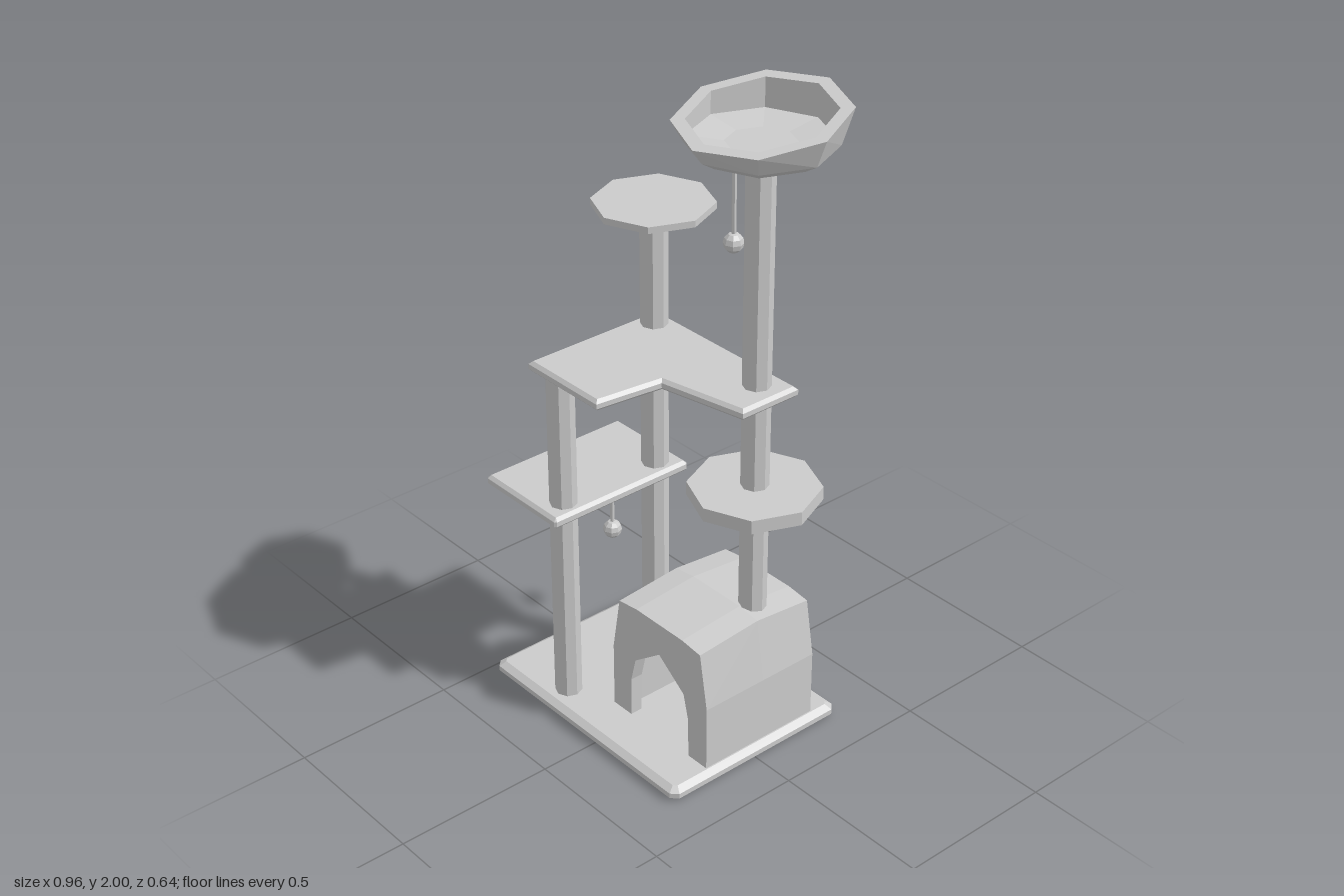
import * as THREE from 'three';

const material = new THREE.MeshStandardMaterial({ color: 0xcccccc, flatShading: true, side: THREE.DoubleSide });

// Skin over a row of cross-sections, each a list of [x, y, z] points
function loft(sections, closed) {
  const n = sections[0].length;
  const indices = [];
  for (let s = 0; s < sections.length - 1; s++) {
    for (let i = 0; i < (closed ? n : n - 1); i++) {
      const a = s * n + i, a1 = s * n + (i + 1) % n;
      indices.push(a, a1, a + n, a1, a1 + n, a + n);
    }
  }
  const geometry = new THREE.BufferGeometry();
  geometry.setAttribute('position', new THREE.Float32BufferAttribute(sections.flat(2), 3));
  geometry.setIndex(indices);
  geometry.computeVertexNormals();
  return geometry;
}

// Rectangle in plan with cut corners
const rectangle = (x0, x1, z0, z1, c) => [
  [x0 + c, z1], [x1 - c, z1], [x1, z1 - c], [x1, z0 + c],
  [x1 - c, z0], [x0 + c, z0], [x0, z0 + c], [x0, z1 - c],
];

export function createModel() {
  const model = new THREE.Group();

  const add = (name, geometry, x = 0, y = 0, z = 0) => {
    const mesh = new THREE.Mesh(geometry, material);
    mesh.name = name;
    mesh.position.set(x, y, z);
    model.add(mesh);
  };

  // Upright prism between two heights
  const prism = (name, x, z, r, y0, y1, sides = 8) =>
    add(name, new THREE.CylinderGeometry(r, r, y1 - y0, sides), x, (y0 + y1) / 2, z);

  // Horizontal board with bevelled rim; outline points are [x, z]
  const board = (name, outline, y0, y1, bevel) => {
    const shape = new THREE.Shape(outline.map(([x, z]) => new THREE.Vector2(x, -z)));
    const geometry = new THREE.ExtrudeGeometry(shape, {
      depth: y1 - y0 - 2 * bevel, bevelThickness: bevel, bevelSize: bevel,
      bevelOffset: -bevel, bevelSegments: 1,
    });
    geometry.rotateX(-Math.PI / 2);
    add(name, geometry, 0, y0 + bevel, 0);
  };

  // Base: bevelled top and rim, hollow underneath
  const ring = (inset, y) => rectangle(-0.476 + inset, 0.366 - inset, -0.32 + inset, 0.32 - inset, 0.02 - inset / 2)
    .map(([x, z]) => [x, y, z]);
  const centre = ring(0, 0).map(() => [-0.055, 0.042, 0]);
  add('base', loft([ring(0.014, 0), ring(0, 0.012), ring(0, 0.028), ring(0.02, 0.042), centre], true));

  // Platforms
  board('lowerPlatform', rectangle(-0.479, -0.154, -0.182, 0.317, 0.006), 0.67, 0.706, 0.01);
  board('upperPlatform', [
    [-0.271, 0.305], [0.028, 0.305], [0.053, 0.095], [0.323, 0.04], [0.323, -0.163], [-0.271, -0.163],
  ], 1.135, 1.17, 0.01);

  // Posts
  const tall = { x: 0.243, z: -0.083 };
  prism('tallPost', tall.x, tall.z, 0.041, 0.42, 1.85);
  prism('backPost', -0.214, -0.105, 0.041, 0.035, 1.54);
  prism('frontPost', -0.214, 0.24, 0.041, 0.035, 1.145);

  // Octagonal perches
  prism('topPerch', -0.215, -0.105, 0.177, 1.535, 1.555);
  prism('middlePerch', tall.x, tall.z, 0.192, 0.81, 0.852);

  // Bowl with a rim that rises towards the back
  prism('bowlCollar', tall.x, tall.z, 0.066, 1.828, 1.862);
  const profile = [
    [0, 1.858], [0.163, 1.858], [0.205, 1.884], [0.237, 1.965],
    [0.198, 1.965], [0.198, 1.9], [0.098, 1.888], [0, 1.888],
  ].map(([r, y]) => new THREE.Vector2(r, y));
  const bowl = new THREE.LatheGeometry(profile, 8);
  const p = bowl.attributes.position;
  for (let i = 0; i < p.count; i++) {
    if (p.getY(i) > 1.95) p.setY(i, p.getY(i) - 0.148 * p.getZ(i));
  }
  add('bowl', bowl, tall.x, 0, tall.z);

  // Hanging balls
  const hangingBall = (name, x, z, ballY, topY) => {
    prism(name + 'String', x, z, 0.007, ballY, topY, 6);
    add(name, new THREE.SphereGeometry(0.03, 8, 6), x, ballY, z);
  };
  hangingBall('upperBall', 0.092, -0.128, 1.53, 1.87);
  hangingBall('lowerBall', -0.45, -0.13, 0.343, 0.68);

  // Hut: outline of walls and roof, moved inwards by the wall thickness t
  const hutX = 0.135;
  const thickness = 0.04;
  const hutOutline = (t) => {
    const half = [[0.207 - t, 0.03], [0.207 - t, 0.25], [0.177 - t, 0.425 - t], [0.1, 0.435 - t]];
    return [...half, ...half.slice().reverse().map(([x, y]) => [-x, y])];
  };
  const hutSection = (t, z, lift) => hutOutline(t).map(([x, y]) => [x, y > 0.3 ? y + lift : y, z]);
  const hutShape = (t) => new THREE.Shape(hutOutline(t).map(([x, y]) => new THREE.Vector2(x, y)));

  // Walls and roof, with the roof raised at mid depth
  add('hutOuterWalls', loft([
    hutSection(0, -0.235, 0), hutSection(0, -0.04, 0.018), hutSection(0, 0.178, 0),
  ]), hutX);
  add('hutInnerWalls', loft([
    hutSection(thickness, 0.138, 0), hutSection(thickness, -0.04, 0.018), hutSection(thickness, -0.195, 0),
  ]), hutX);

  // Front with pointed doorway
  const front = hutShape(0);
  const halfDoor = [[0.129, 0.04], [0.127, 0.17], [0.107, 0.25]];
  const door = [...halfDoor, [0, 0.33], ...halfDoor.slice().reverse().map(([x, y]) => [-x, y])];
  front.holes.push(new THREE.Path(door.map(([x, y]) => new THREE.Vector2(x, y))));
  add('hutFront', new THREE.ExtrudeGeometry(front, { depth: thickness, bevelEnabled: false }), hutX, 0, 0.138);

  // Back, outside and inside
  add('hutBack', new THREE.ShapeGeometry(hutShape(0)).rotateY(Math.PI), hutX, 0, -0.235);
  add('hutInnerBack', new THREE.ShapeGeometry(hutShape(thickness)), hutX, 0, -0.195);

  return model;
}
